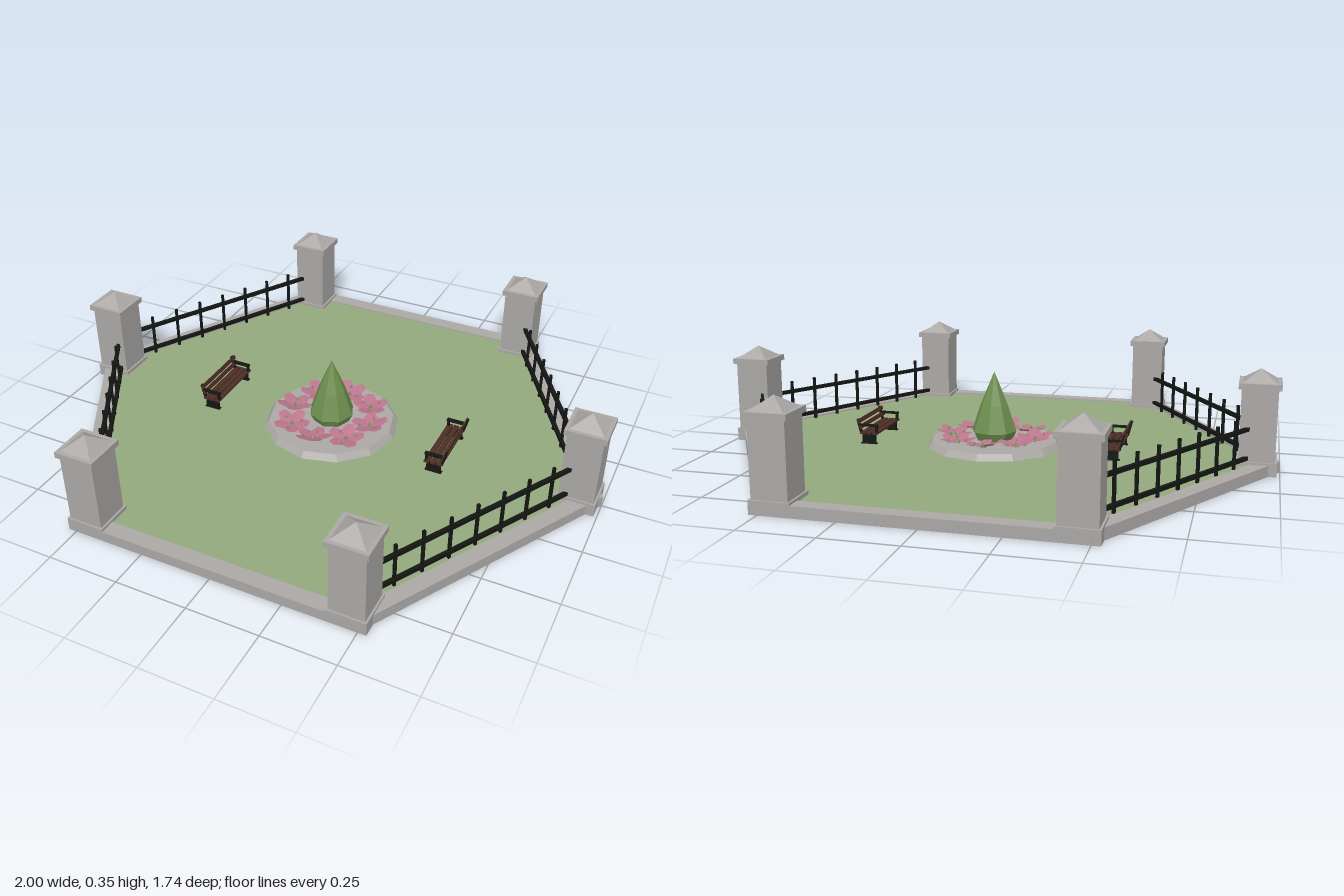
import * as THREE from 'three';

const mat = (name, color, opts = {}) => {
  const m = new THREE.MeshStandardMaterial({ color, flatShading: true, ...opts });
  m.name = name;
  return m;
};

export function createModel() {
  const stone = mat('stone', 0xaaa7a5);
  const grass = mat('grass', 0x93a87d);
  const iron = mat('iron', 0x141614);
  const wood = mat('wood', 0x4c2d24);
  const leaf = mat('leaf', 0x6d8f4e);
  const pink = mat('petal pink', 0xbb758c, { side: THREE.DoubleSide });

  const park = new THREE.Group();
  park.name = 'park';

  const add = (parent, name, geo, material, x = 0, y = 0, z = 0) => {
    const m = new THREE.Mesh(geo, material);
    m.name = name;
    m.position.set(x, y, z);
    parent.add(m);
    return m;
  };
  const box = (parent, name, material, w, h, d, x, y, z) =>
    add(parent, name, new THREE.BoxGeometry(w, h, d), material, x, y, z);

  // regular polygon outline, and an upright ring extruded from two of them
  const polygon = (n, r, start = 0) => Array.from({ length: n }, (_, i) => {
    const a = start + (i / n) * Math.PI * 2;
    return new THREE.Vector2(Math.cos(a) * r, Math.sin(a) * r);
  });
  const prism = (outer, inner, height) => {
    const shape = new THREE.Shape(outer);
    if (inner) shape.holes.push(new THREE.Path(inner));
    return new THREE.ExtrudeGeometry(shape, { depth: height, bevelEnabled: false }).rotateX(-Math.PI / 2);
  };

  // lawn and kerb
  add(park, 'lawn', prism(polygon(6, 0.95), null, 0.005), grass, 0, 0.028, 0);
  add(park, 'kerb', prism(polygon(6, 1), polygon(6, 0.936), 0.038), stone);

  // gate posts on the six corners, hollow at the foot
  const D = Math.SQRT1_2 * 2;
  const footGeo = prism(polygon(4, 0.067 * D, Math.PI / 4), polygon(4, 0.045 * D, Math.PI / 4), 0.046);
  const roofGeo = new THREE.ConeGeometry(0.057 * D, 0.042, 4).rotateY(Math.PI / 4);
  polygon(6, 0.922).forEach((p) => {
    const post = new THREE.Group();
    post.name = 'post';
    post.position.set(p.x, 0, p.y);
    add(post, 'postFoot', footGeo, stone);
    box(post, 'postShaft', stone, 0.12, 0.265, 0.12, 0, 0.1625, 0);
    box(post, 'postCap', stone, 0.14, 0.02, 0.14, 0, 0.303, 0);
    add(post, 'postRoof', roofGeo, stone, 0, 0.334, 0);
    park.add(post);
  });

  // iron fences on the four slanted sides
  for (const sx of [-1, 1]) for (const sz of [-1, 1]) {
    const fence = new THREE.Group();
    fence.name = 'fence';
    fence.position.set(sx * 0.6915, 0, sz * 0.399);
    fence.rotation.y = sx * sz * Math.PI / 3;
    for (const y of [0.057, 0.157]) box(fence, 'rail', iron, 0.79, 0.013, 0.013, 0, y, 0);
    for (let i = -3; i <= 3; i++) box(fence, 'baluster', iron, 0.009, 0.165, 0.009, i * 0.106, 0.115, 0);
    park.add(fence);
  }

  // benches facing the centre
  for (const s of [-1, 1]) {
    const bench = new THREE.Group();
    bench.name = 'bench';
    bench.position.x = s * 0.44;
    if (s < 0) bench.rotation.y = Math.PI;
    for (const x of [-0.024, -0.001, 0.022]) box(bench, 'seatSlat', wood, 0.019, 0.007, 0.24, x, 0.072, 0);
    for (const y of [0.094, 0.115]) {
      box(bench, 'backSlat', wood, 0.006, 0.014, 0.24, 0.03 + (y - 0.094) * 0.3, y, 0).rotation.z = -0.25;
    }
    for (const z of [-0.108, 0.108]) {
      box(bench, 'benchFoot', iron, 0.06, 0.012, 0.016, 0, 0.03, z);
      box(bench, 'benchLeg', iron, 0.05, 0.034, 0.012, 0, 0.051, z);
      box(bench, 'backSupport', iron, 0.007, 0.055, 0.012, 0.036, 0.095, z).rotation.z = -0.25;
      box(bench, 'armrest', iron, 0.068, 0.007, 0.014, 0, 0.1, z);
      box(bench, 'armPost', iron, 0.007, 0.03, 0.012, -0.028, 0.085, z);
    }
    park.add(bench);
  }

  // round flower bed
  add(park, 'flowerBed', new THREE.CylinderGeometry(0.228, 0.245, 0.022, 12), stone, 0, 0.044, 0);

  // clipped conical shrub
  const shrubProfile = [[0, 0.05], [0.065, 0.05], [0.082, 0.085], [0.05, 0.18], [0, 0.3]]
    .map(([r, y]) => new THREE.Vector2(r, y));
  add(park, 'shrub', new THREE.LatheGeometry(shrubProfile, 8), leaf);

  // blossoms: shallow cups with five broad petals
  const blossomGeo = new THREE.CircleGeometry(1, 15).rotateX(-Math.PI / 2);
  const pos = blossomGeo.attributes.position;
  for (let i = 1; i < pos.count; i++) {
    const notch = (i - 1) % 3 === 0;
    const r = notch ? 0.044 : 0.066;
    pos.setXYZ(i, pos.getX(i) * r, notch ? 0.008 : 0.017, pos.getZ(i) * r);
  }
  blossomGeo.computeVertexNormals();
  const budGeo = new THREE.ConeGeometry(0.011, 0.018, 5);
  const leafletGeo = new THREE.ConeGeometry(0.007, 0.014, 4);
  polygon(8, 0.152).forEach((p, i) => {
    const flower = new THREE.Group();
    flower.name = 'flower';
    flower.position.set(p.x, 0.06, p.y);
    flower.rotation.set(0.12 * Math.sin(i * 2.4), i * 1.1, 0.12 * Math.cos(i * 1.7));
    add(flower, 'blossom', blossomGeo, pink);
    add(flower, 'bud', budGeo, leaf, 0, 0.006, 0);
    for (const a of [0.6, 2.7, 4.8]) {
      add(flower, 'leaflet', leafletGeo, leaf, Math.cos(a) * 0.035, 0.011, Math.sin(a) * 0.035);
    }
    park.add(flower);
  });

  return park;
}
